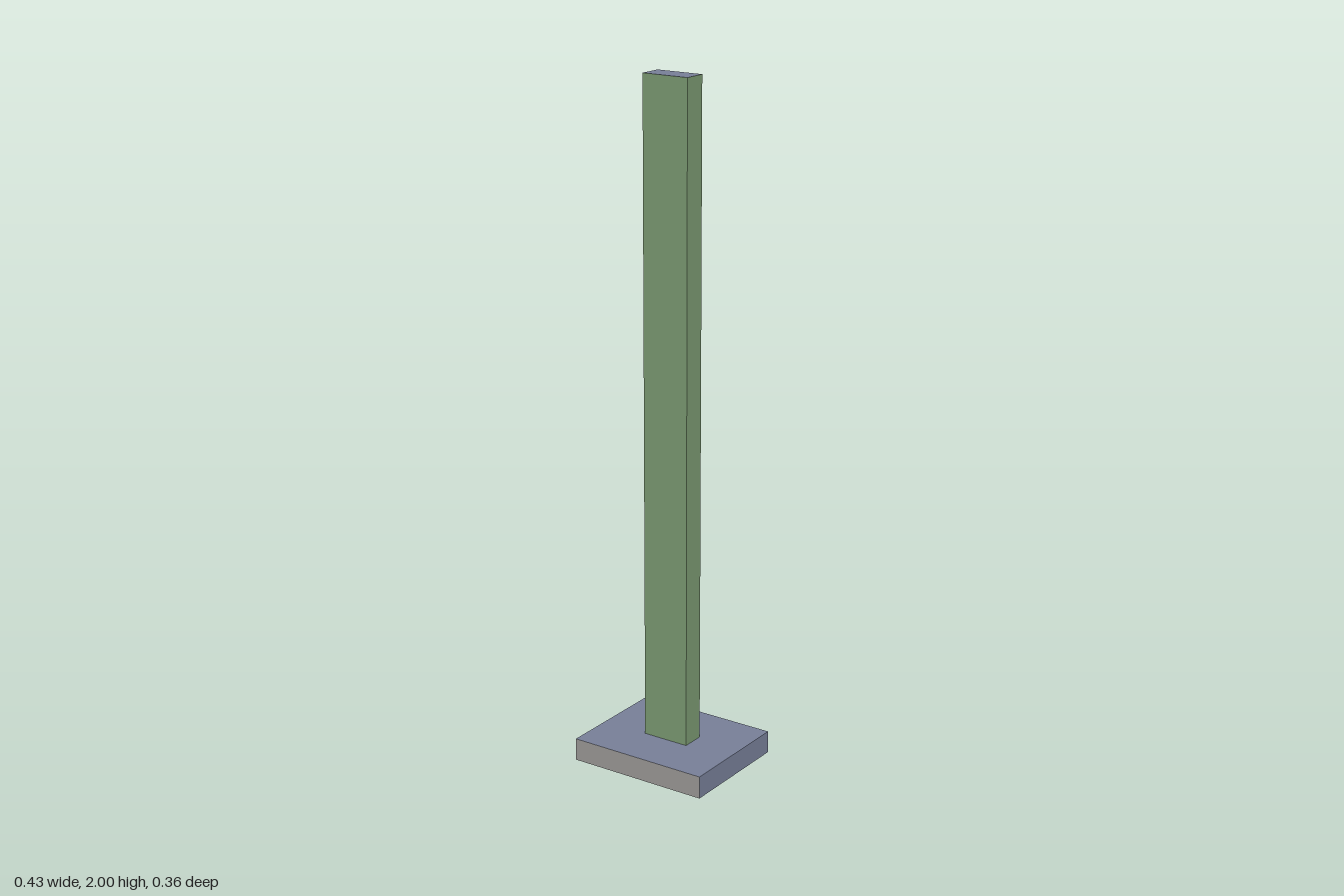
import * as THREE from 'three';

const paint = (color) => new THREE.MeshStandardMaterial({ color });

// Box standing on height y; materials in the order +x, -x, +y, -y, +z, -z
function block(name, [w, h, d], y, materials) {
  const mesh = new THREE.Mesh(new THREE.BoxGeometry(w, h, d), materials);
  mesh.name = name;
  mesh.position.y = y + h / 2;
  return mesh;
}

export function createModel() {
  const model = new THREE.Group();
  model.name = 'postOnBase';

  const green = paint(0x7a9871);
  const blue = paint(0x777f98);
  const grey = paint(0x999795);
  const baseHeight = 0.067;

  // Base plate: blue with a grey front edge
  model.add(block('base', [0.434, baseHeight, 0.36], 0, [blue, blue, blue, blue, grey, blue]));

  // Upright post: green sides with a blue top
  model.add(block('post', [0.145, 2 - baseHeight, 0.07], baseHeight, [green, green, blue, blue, green, green]));

  return model;
}
